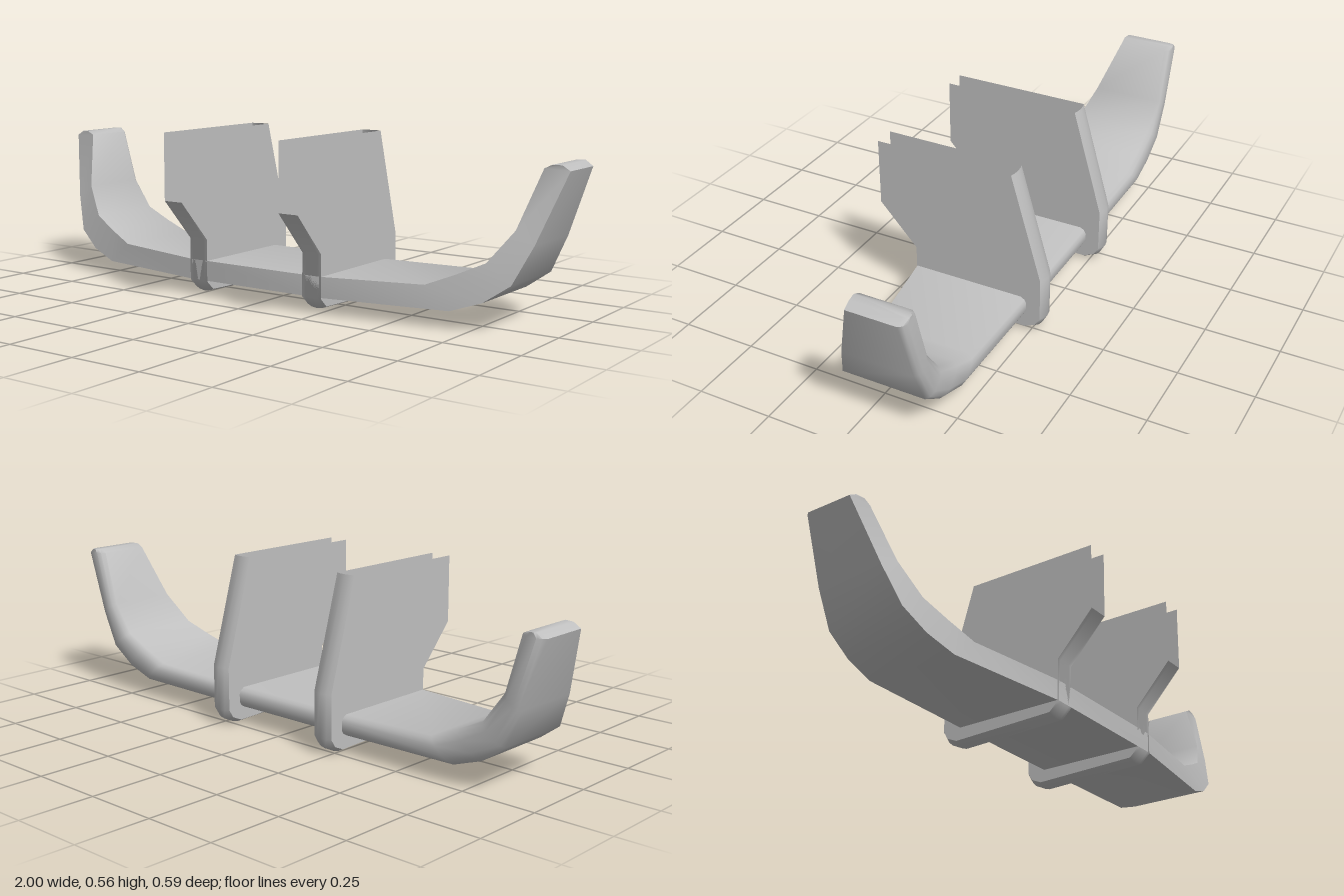
import * as THREE from 'three';
import { toCreasedNormals } from 'three/addons/utils/BufferGeometryUtils.js';

const CREASE = 0.95;

// Skin a list of rows of points; closed rows wrap around and get end caps.
function skin(rows, closed) {
  const n = rows[0].length, index = [];
  for (let i = 0; i < rows.length - 1; i++) {
    for (let j = 0; j < (closed ? n : n - 1); j++) {
      const k = (j + 1) % n;
      const a = i * n + j, b = (i + 1) * n + j, c = i * n + k, d = (i + 1) * n + k;
      index.push(a, b, c, b, d, c);
    }
  }
  if (closed) {
    const e = (rows.length - 1) * n;
    for (let j = 1; j < n - 1; j++) {
      index.push(0, j, j + 1);
      index.push(e, e + j + 1, e + j);
    }
  }
  const g = new THREE.BufferGeometry();
  g.setAttribute('position', new THREE.Float32BufferAttribute(rows.flat(2), 3));
  g.setIndex(index);
  return toCreasedNormals(g, CREASE);
}

// Upswept blade: each station is inner [x, y, front z] and outer [x, y, front z]
function bladeGeometry() {
  const half = [
    [[0.26, 0.123, 0.168], [0.26, 0.055, 0.168]],
    [[0.607, 0.13, 0.11], [0.69, 0.058, 0.105]],
    [[0.70, 0.168, 0.088], [0.79, 0.092, 0.085]],
    [[0.79, 0.21, 0.065], [0.872, 0.15, 0.062]],
    [[0.864, 0.31, 0.025], [0.925, 0.27, 0.023]],
    [[0.917, 0.492, -0.045], [0.998, 0.488, -0.05]],
    [[0.942, 0.504, -0.045], [0.972, 0.504, -0.05]],
  ];
  const flip = (p) => [-p[0], p[1], p[2]];
  const stations = [...half.map((s) => s.map(flip)).reverse(), ...half];
  const rows = stations.map(([p, q]) => {
    const mix = (t, z) => [p[0] + (q[0] - p[0]) * t, p[1] + (q[1] - p[1]) * t, z];
    // flat front edge, rounded rear edge
    return [p, mix(0, -0.215), mix(0.12, -0.228), mix(0.3, -0.235),
      mix(0.7, -0.235), mix(0.88, -0.228), mix(1, -0.215), q];
  });
  return skin(rows, true);
}

// Fin edge, front to back: z, y, then the outward crown dz, dy at mid width
const FIN_EDGE = [
  [0.296, 0.335, 0, 0],
  [0.168, 0.195, 0, 0],
  [0.168, 0.052, 0, 0],
  [0.136, 0.022, 0, -0.01],
  [-0.23, 0.012, -0.005, -0.012],
  [-0.266, 0.028, -0.009, -0.009],
  [-0.283, 0.055, -0.012, 0],
  [-0.283, 0.2, -0.012, 0],
  [-0.178, 0.56, -0.006, 0],
];
const FIN_HALF = 0.036;

function finSideGeometry() {
  const pts = FIN_EDGE.map(([z, y]) => new THREE.Vector2(z, y));
  pts.unshift(new THREE.Vector2(0.296, 0.56));
  return new THREE.ShapeGeometry(new THREE.Shape(pts)).rotateY(-Math.PI / 2);
}

function finRimGeometry() {
  const rows = FIN_EDGE.map(([z, y, dz, dy]) =>
    [-1, -0.6, 0, 0.6, 1].map((u) => {
      const c = 1 - u * u;
      return [u * FIN_HALF, y + dy * c, z + dz * c];
    }));
  return skin(rows, false);
}

export function createModel() {
  const model = new THREE.Group();
  model.name = 'finnedBlade';
  const grey = new THREE.MeshStandardMaterial({ color: 0xbfbfbf, side: THREE.DoubleSide });
  grey.name = 'plain grey';

  const add = (parent, name, geometry, x = 0) => {
    const mesh = new THREE.Mesh(geometry, grey);
    mesh.name = name;
    mesh.position.x = x;
    parent.add(mesh);
  };

  add(model, 'blade', bladeGeometry());

  // Two hollow upright fins, open along the top and the upper front
  const side = finSideGeometry(), rim = finRimGeometry();
  for (const [name, x] of [['leftFin', 0.231], ['rightFin', -0.231]]) {
    const fin = new THREE.Group();
    fin.name = name;
    fin.position.x = x;
    add(fin, 'finLeftWall', side, FIN_HALF);
    add(fin, 'finRightWall', side, -FIN_HALF);
    add(fin, 'finRim', rim);
    model.add(fin);
  }
  return model;
}
